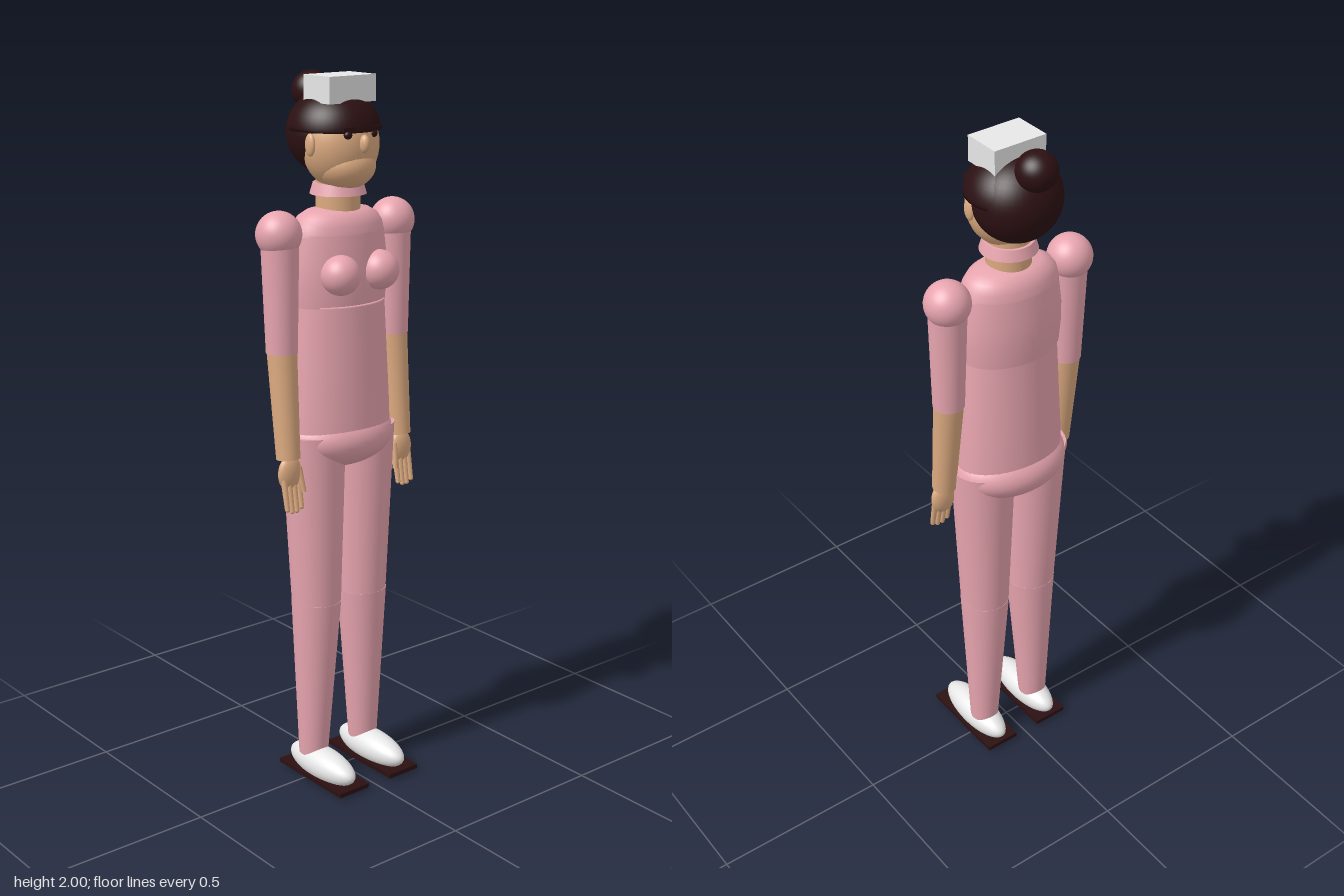
import * as THREE from 'three';

export function createModel() {
  const model = new THREE.Group();
  model.name = 'nurse';

  const material = (name, color, side = THREE.FrontSide) => {
    const m = new THREE.MeshStandardMaterial({ color, side });
    m.name = name;
    return m;
  };
  const pink = material('uniformPink', 0xffb6c1);
  const skin = material('skin', 0xdcaa80);
  const hair = material('darkBrown', 0x2c1012);
  const white = material('white', 0xffffff);

  // Helpers: every part is placed by absolute position
  const add = (name, geometry, mat, x = 0, y = 0, z = 0) => {
    const mesh = new THREE.Mesh(geometry, mat);
    mesh.name = name;
    mesh.position.set(x, y, z);
    model.add(mesh);
    return mesh;
  };
  const ball = (name, mat, [x, y, z], [rx, ry, rz]) =>
    add(name, new THREE.SphereGeometry(1, 40, 24).scale(rx, ry, rz), mat, x, y, z);
  const box = (name, mat, [x, y, z], [w, h, d]) =>
    add(name, new THREE.BoxGeometry(w, h, d), mat, x, y, z);
  const UP = new THREE.Vector3(0, 1, 0);
  const limb = (name, mat, from, to, r0, r1, segments = 32) => {
    const a = new THREE.Vector3(...from), b = new THREE.Vector3(...to);
    const dir = b.clone().sub(a);
    const mesh = add(name, new THREE.CylinderGeometry(r1, r0, dir.length(), segments), mat);
    mesh.position.copy(a).add(b).multiplyScalar(0.5);
    mesh.quaternion.setFromUnitVectors(UP, dir.normalize());
    return mesh;
  };
  // Oval solid turned from a profile of [half width, height]
  const oval = (name, mat, profile, depth, z) => {
    const points = profile.map(([r, y]) => new THREE.Vector2(r, y));
    return add(name, new THREE.LatheGeometry(points, 48).scale(1, 1, depth), mat, 0, 0, z);
  };

  // Torso
  oval('chest', pink, [[0, 1.395], [0.145, 1.395], [0.146, 1.395], [0.151, 1.45], [0.151, 1.51],
    [0.141, 1.59]], 0.69, -0.013);
  oval('shoulderYoke', pink, [[0.143, 1.585], [0.137, 1.61], [0.122, 1.632], [0.095, 1.647],
    [0.05, 1.655], [0, 1.656]], 0.66, -0.013);
  oval('waist', pink, [[0.16, 1.04], [0.158, 1.1], [0.151, 1.22], [0.141, 1.395], [0.141, 1.4],
    [0, 1.4]], 0.72, -0.01);
  ball('pelvis', pink, [0, 1.02, -0.013], [0.17, 0.088, 0.13]);

  // Neck and collar
  limb('neck', skin, [0, 1.62, -0.01], [0, 1.74, -0.01], 0.06, 0.06);
  limb('collar', pink, [0, 1.688, -0.01], [0, 1.718, -0.01], 0.077, 0.068);

  // Head and face
  ball('head', skin, [0, 1.82, 0], [0.108, 0.12, 0.097]);
  ball('jaw', skin, [0, 1.765, 0.018], [0.084, 0.064, 0.082]);
  ball('nose', skin, [0, 1.828, 0.1], [0.013, 0.024, 0.016]);

  // Hair: closed dome for the fringe, rounded back and a bun
  const dome = [[0, 1.857]];
  for (let i = 0; i <= 16; i++) {
    const t = (i / 16) * Math.PI / 2;
    dome.push([0.124 * Math.cos(t), 1.857 + 0.105 * Math.sin(t)]);
  }
  oval('hairDome', hair, dome, 1, -0.026);
  ball('hairBack', hair, [0, 1.848, -0.045], [0.119, 0.115, 0.112]);
  ball('hairBun', hair, [0, 1.952, -0.123], [0.054, 0.052, 0.054]);

  // Cap
  box('cap', white, [0, 1.965, -0.003], [0.156, 0.07, 0.11]);

  for (const s of [-1, 1]) {
    const side = s > 0 ? 'left' : 'right';

    // Face details
    ball(side + 'Eye', hair, [s * 0.043, 1.852, 0.084], [0.012, 0.011, 0.01]);
    box(side + 'Brow', hair, [s * 0.043, 1.868, 0.09], [0.044, 0.008, 0.009]);
    ball(side + 'Ear', skin, [s * 0.108, 1.825, 0.008], [0.01, 0.03, 0.018]);

    ball(side + 'Bust', pink, [s * 0.067, 1.487, 0.084], [0.054, 0.054, 0.054]);

    // Arm
    ball(side + 'PuffSleeve', pink, [s * 0.196, 1.597, -0.015], [0.062, 0.062, 0.062]);
    limb(side + 'Sleeve', pink, [s * 0.195, 1.6, -0.013], [s * 0.195, 1.28, -0.008], 0.052, 0.043);
    limb(side + 'Forearm', skin, [s * 0.195, 1.285, -0.008], [s * 0.198, 0.99, 0.02], 0.041, 0.033);

    // Hand
    ball(side + 'Palm', skin, [s * 0.198, 0.95, 0.026], [0.037, 0.05, 0.02]);
    for (let i = 0; i < 4; i++) {
      const x = s * (0.174 + i * 0.016), tip = 0.855 - (i === 1 || i === 2 ? 0.008 : 0);
      limb(side + 'Finger' + (i + 1), skin, [x, 0.94, 0.03], [x, tip, 0.046], 0.009, 0.007, 12);
      ball(side + 'Fingertip' + (i + 1), skin, [x, tip, 0.046], [0.007, 0.007, 0.007]);
    }
    limb(side + 'Thumb', skin, [s * 0.172, 0.965, 0.03], [s * 0.165, 0.895, 0.044], 0.01, 0.008, 12);

    // Leg
    limb(side + 'Thigh', pink, [s * 0.088, 1.04, -0.01], [s * 0.083, 0.54, -0.006], 0.09, 0.07);
    limb(side + 'Calf', pink, [s * 0.083, 0.545, -0.006], [s * 0.092, 0.07, -0.01], 0.071, 0.042);

    // Shoe
    ball(side + 'Shoe', white, [s * 0.092, 0.047, 0.032], [0.05, 0.047, 0.137]);
    box(side + 'Sole', hair, [s * 0.092, 0.017, 0.036], [0.104, 0.013, 0.284]);
  }

  return model;
}
